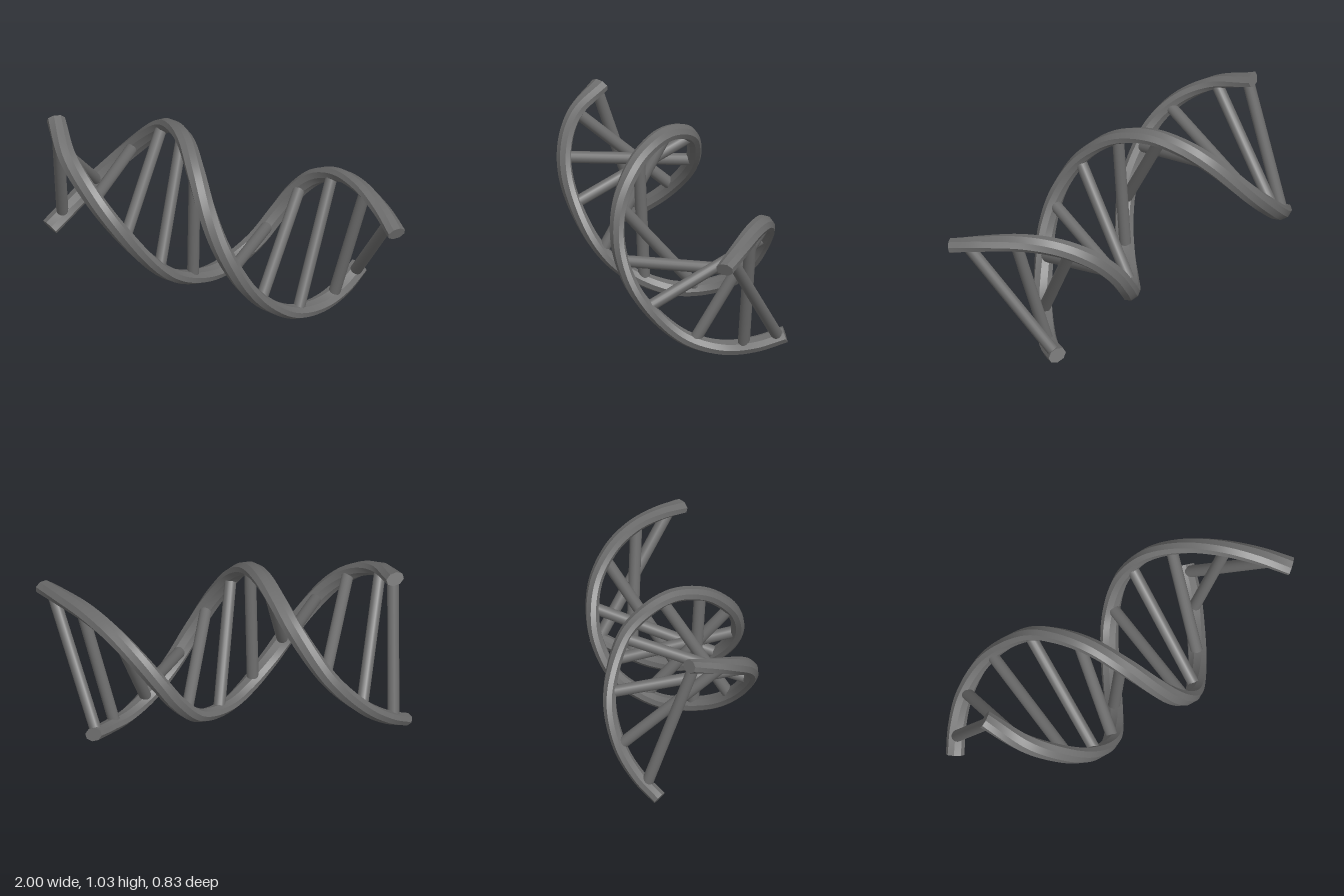
import * as THREE from 'three';
import { toCreasedNormals } from 'three/addons/utils/BufferGeometryUtils.js';

const STRAND_DEPTH = 0.033; // half size away from the helix axis
const STRAND_WIDTH = 0.046; // half size along the helix axis
const RUNG_RADIUS = 0.031;
const SIDES = 8;
const STEPS = 110;

// The helix axis slopes down to the right end
const axisPoint = new THREE.Vector3(0, 0.53, 0);
const axisDirection = new THREE.Vector3(1, -0.24, 0).normalize();

const curveThrough = (points) =>
  new THREE.CatmullRomCurve3(points.map((p) => new THREE.Vector3(...p)), false, 'centripetal');

// x always grows along both strands
const strandA = curveThrough([
  [-0.885, 0.998, 0.03], [-0.77, 0.908, 0.225], [-0.62, 0.787, 0.345], [-0.48, 0.64, 0.383],
  [-0.3, 0.4, 0.32], [-0.2, 0.268, 0.215], [-0.1, 0.185, 0.055], [-0.02, 0.165, -0.085],
  [0.1, 0.23, -0.27], [0.2, 0.37, -0.36], [0.28, 0.49, -0.383], [0.4, 0.62, -0.36],
  [0.55, 0.71, -0.272], [0.7, 0.736, -0.15], [0.85, 0.71, -0.005], [0.965, 0.668, 0.125],
]);
const strandB = curveThrough([
  [-0.96, 0.22, -0.13], [-0.88, 0.3, -0.23], [-0.77, 0.42, -0.32], [-0.6, 0.61, -0.362],
  [-0.4, 0.845, -0.275], [-0.3, 0.925, -0.16], [-0.2, 0.95, -0.01], [-0.1, 0.882, 0.16],
  [0, 0.73, 0.295], [0.07, 0.6, 0.345], [0.14, 0.472, 0.355], [0.22, 0.322, 0.318],
  [0.3, 0.187, 0.23], [0.4, 0.073, 0.095], [0.5, 0.034, -0.07], [0.58, 0.06, -0.22],
  [0.632, 0.11, -0.357],
]);

// x of each rung's ends on strand A and strand B
const rungEnds = [
  [-0.87, -0.91], [-0.78, -0.765], [-0.59, -0.58], [-0.42, -0.4],
  [-0.26, -0.235], [-0.13, -0.11], [0.01, 0.015], [0.15, 0.15],
  [0.31, 0.275], [0.505, 0.42], [0.73, 0.55], [0.91, 0.62],
];

// Point of a strand at a given x, by bisection
function pointAtX(curve, x) {
  let low = 0, high = 1;
  for (let i = 0; i < 30; i++) {
    const mid = (low + high) / 2;
    if (curve.getPoint(mid).x < x) low = mid;
    else high = mid;
  }
  return curve.getPoint(low);
}

// Flattened eight-sided bar whose flat faces point at the helix axis
function makeStrand(curve, material, name) {
  const positions = [];
  const index = [];
  for (let i = 0; i <= STEPS; i++) {
    const center = curve.getPointAt(i / STEPS);
    const tangent = curve.getTangentAt(i / STEPS);
    const outward = center.clone().sub(axisPoint)
      .projectOnPlane(axisDirection).projectOnPlane(tangent).normalize();
    const across = tangent.clone().cross(outward);
    for (let j = 0; j < SIDES; j++) {
      const a = ((j + 0.5) * 2 * Math.PI) / SIDES;
      const corner = center.clone()
        .addScaledVector(outward, Math.cos(a) * STRAND_DEPTH / Math.cos(Math.PI / SIDES))
        .addScaledVector(across, Math.sin(a) * STRAND_WIDTH / Math.cos(Math.PI / SIDES));
      positions.push(corner.x, corner.y, corner.z);
      if (i < STEPS) {
        const p = i * SIDES + j, q = i * SIDES + ((j + 1) % SIDES);
        index.push(p, q, q + SIDES, p, q + SIDES, p + SIDES);
      }
    }
  }
  // End caps
  const last = STEPS * SIDES;
  for (let j = 1; j < SIDES - 1; j++) {
    index.push(0, j + 1, j, last, last + j, last + j + 1);
  }
  const geometry = new THREE.BufferGeometry();
  geometry.setAttribute('position', new THREE.Float32BufferAttribute(positions, 3));
  geometry.setIndex(index);
  const mesh = new THREE.Mesh(toCreasedNormals(geometry, 0.5), material);
  mesh.name = name;
  return mesh;
}

// Round bar between two points
function makeRung(from, to, material) {
  const along = to.clone().sub(from);
  const mesh = new THREE.Mesh(
    new THREE.CylinderGeometry(RUNG_RADIUS, RUNG_RADIUS, along.length(), 16), material);
  mesh.position.copy(from).add(to).multiplyScalar(0.5);
  mesh.quaternion.setFromUnitVectors(new THREE.Vector3(0, 1, 0), along.normalize());
  mesh.name = 'rung';
  return mesh;
}

export function createModel() {
  const grey = new THREE.MeshStandardMaterial({ color: 0x6c6c6c });
  grey.name = 'dark grey';

  const model = new THREE.Group();
  model.name = 'doubleHelix';
  model.add(makeStrand(strandA, grey, 'strandA'), makeStrand(strandB, grey, 'strandB'));

  // Rungs joining the strands
  const rungs = new THREE.Group();
  rungs.name = 'rungs';
  for (const [xA, xB] of rungEnds) {
    rungs.add(makeRung(pointAtX(strandA, xA), pointAtX(strandB, xB), grey));
  }
  model.add(rungs);
  return model;
}
